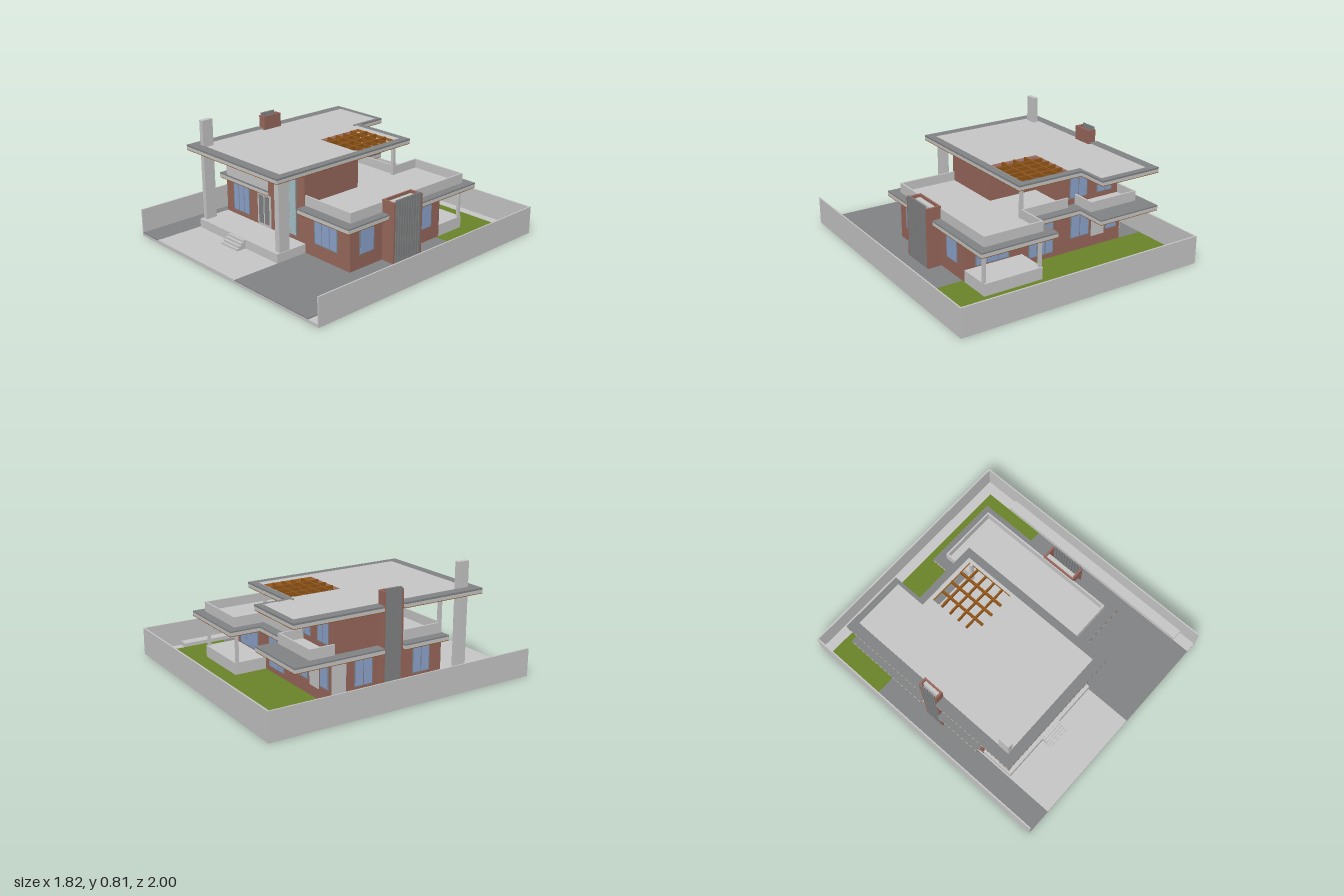
import * as THREE from 'three';

export function createModel() {
  const house = new THREE.Group();
  house.name = 'house';
  const material = (name, color, double) => {
    const m = new THREE.MeshStandardMaterial({ color });
    m.name = name;
    return m;
  };
  const light = material('light plaster', 0xc8c8c8);
  const dark = material('dark grey', 0x838485);
  const brick = material('brick', 0x9a695d);
  const grass = material('grass', 0x6b852a);
  const blue = material('window glass', 0x8fa6d0);
  const teal = material('hall glass', 0xabc5ca);
  const wood = material('wood', 0x935618);

  const add = (name, geometry, mat, parent = house) => {
    const mesh = new THREE.Mesh(geometry, mat);
    mesh.name = name;
    parent.add(mesh);
    return mesh;
  };
  // Box given by its limits
  const box = (name, mat, x0, x1, y0, y1, z0, z1, parent) => {
    const g = new THREE.BoxGeometry(x1 - x0, y1 - y0, z1 - z0);
    g.translate((x0 + x1) / 2, (y0 + y1) / 2, (z0 + z1) / 2);
    return add(name, g, mat, parent);
  };
  // Flat slab from a plan outline of [x, z] points, with holes
  const slab = (name, mat, outline, holes, y0, y1) => {
    const pts = (list) => list.map(([x, z]) => new THREE.Vector2(x, -z));
    const shape = new THREE.Shape(pts(outline));
    holes.forEach((h) => shape.holes.push(new THREE.Path(pts(h))));
    const g = new THREE.ExtrudeGeometry(shape, { depth: y1 - y0, bevelEnabled: false });
    g.rotateX(-Math.PI / 2).translate(0, y0, 0);
    return add(name, g, mat);
  };
  const rect = (x0, x1, z0, z1) => [[x0, z0], [x1, z0], [x1, z1], [x0, z1]];

  // Plot, paving and lawn
  box('plotBase', light, -0.91, 0.91, 0, 0.02, -1, 1);
  box('lawn', grass, -0.9, 0.82, 0.02, 0.026, -0.91, -0.42);
  box('leftPaving', dark, -0.9, -0.72, 0.02, 0.027, -0.45, 1);
  box('rightPaving', dark, 0.13, 0.82, 0.02, 0.026, -0.42, 1);
  box('frontPath', light, -0.72, 0.13, 0.02, 0.026, 0.4, 1);
  box('sidewalk', light, 0.825, 0.9, 0.02, 0.05, -0.72, 0.87);
  box('backWall', light, -0.91, 0.91, 0, 0.197, -1, -0.988);
  for (const s of [-1, 1]) {
    box('sideWall', light, Math.min(s * 0.91, s * 0.9), Math.max(s * 0.91, s * 0.9), 0, 0.197, -0.988, 1);
  }

  // Main brick volumes
  box('groundFloor', brick, -0.71, 0.55, 0.02, 0.335, -0.445, 0.405);
  box('upperHall', brick, -0.25, 0.125, 0.33, 0.6, -0.08, 0.405);
  box('upperBedroom', brick, -0.7, -0.25, 0.33, 0.6, -0.42, 0.06);
  box('balconyBackWall', light, -0.7, -0.25, 0.36, 0.6, 0.06, 0.067);
  box('balconyWindow', dark, -0.51, -0.46, 0.41, 0.56, 0.067, 0.072);

  // Front porch, steps and pillars
  box('porch', light, -0.71, 0.13, 0.02, 0.09, 0.405, 0.65);
  for (let i = 0; i < 4; i++) {
    box('step', light, -0.37, -0.2, 0.02, 0.087 - i * 0.016, 0.65, 0.668 + i * 0.018);
  }
  box('tallPillar', light, -0.7, -0.665, 0.09, 0.81, 0.54, 0.625);
  box('frontPillar', light, 0.083, 0.125, 0.09, 0.6, 0.54, 0.625);
  box('balconyPost', light, -0.71, -0.688, 0.36, 0.6, 0.383, 0.405);
  box('terracePost', light, 0.105, 0.127, 0.36, 0.6, -0.45, -0.428);

  // Back porch
  box('backPorch', light, 0.11, 0.55, 0.02, 0.11, -0.68, -0.445);
  for (const x of [0.11, 0.53]) box('backPorchPost', light, x, x + 0.02, 0.11, 0.33, -0.67, -0.65);

  // Lower roof: plaster body, dark cap and wooden soffit
  const lower = [[-0.78, -0.745], [-0.3, -0.745], [-0.3, -0.525], [0.04, -0.525], [0.04, -0.745],
    [0.61, -0.745], [0.61, 0.475], [0.127, 0.475], [0.127, 0.4], [-0.245, 0.4], [-0.245, 0.412],
    [-0.78, 0.412], [-0.78, 0.062], [-0.7, 0.062], [-0.7, -0.095], [-0.78, -0.095]];
  slab('lowerSoffit', wood, lower, [], 0.323, 0.327);
  slab('lowerRoof', light, lower, [], 0.327, 0.351);
  slab('lowerRoofCap', dark, lower, [], 0.351, 0.36);

  // Terrace and balcony floors with parapets
  box('terraceFloor', light, 0.11, 0.55, 0.36, 0.366, -0.68, 0.4);
  box('pergolaFloor', light, -0.25, 0.11, 0.36, 0.366, -0.445, -0.08);
  box('balconyFloor', light, -0.7, -0.25, 0.36, 0.366, 0.06, 0.4);
  box('backBalconyFloor', light, -0.7, -0.33, 0.36, 0.366, -0.6, -0.42);
  const parapets = [
    [0.125, 0.55, 0.388, 0.4], [0.538, 0.55, -0.68, 0.4], [0.11, 0.55, -0.68, -0.668],
    [0.11, 0.122, -0.68, -0.445], [-0.25, 0.122, -0.457, -0.445],
    [-0.7, -0.25, 0.393, 0.405], [-0.71, -0.698, 0.06, 0.405],
    [-0.71, -0.33, -0.6, -0.588], [-0.71, -0.698, -0.6, -0.42], [-0.342, -0.33, -0.6, -0.42],
  ];
  parapets.forEach(([x0, x1, z0, z1]) => box('parapet', light, x0, x1, 0.358, 0.43, z0, z1));

  // Upper roof with a dark rim, a light deck and a pergola opening
  const upper = [[-0.77, -0.745], [-0.3, -0.745], [-0.3, -0.525], [0.19, -0.525], [0.19, 0.69],
    [-0.77, 0.69], [-0.77, 0.062], [-0.7, 0.062], [-0.7, -0.095], [-0.77, -0.095]];
  const deck = [[-0.697, -0.7], [-0.325, -0.7], [-0.325, -0.475], [0.135, -0.475], [0.135, 0.62], [-0.697, 0.62]];
  const opening = rect(-0.25, 0.115, -0.45, -0.08);
  slab('upperSoffit', wood, upper, [opening], 0.594, 0.598);
  slab('upperRoof', light, upper, [opening], 0.598, 0.62);
  slab('upperRoofRim', dark, upper, [deck], 0.62, 0.632);

  // Pergola beams
  for (let i = 1; i < 4; i++) {
    const x = -0.25 + i * 0.091;
    box('pergolaBeam', wood, x - 0.007, x + 0.007, 0.594, 0.624, -0.45, -0.08);
  }
  for (let i = 1; i < 5; i++) {
    const z = -0.45 + i * 0.074;
    box('pergolaCrossBeam', wood, -0.25, 0.115, 0.596, 0.622, z - 0.006, z + 0.006);
  }

  // Chimneys: brick fins around a row of dark pipes; s is the outward side
  const chimney = (name, s, inner, depth, z0, z1, top, backDepth, count) => {
    const g = new THREE.Group();
    g.name = name;
    house.add(g);
    const span = (label, mat, a, b, y1, za, zb) => {
      const p = inner + s * a, q = inner + s * b;
      box(label, mat, Math.min(p, q), Math.max(p, q), 0.02, y1, za, zb, g);
    };
    span('chimneyFin', brick, 0, depth, top, z0, z0 + 0.014);
    span('chimneyFin', brick, 0, depth, top, z1 - 0.014, z1);
    span('chimneyBack', brick, 0, 0.012, top, z0, z1);
    span('chimneyCore', light, 0.012, backDepth, top - 0.02, z0 + 0.014, z1 - 0.014);
    const pitch = (z1 - z0 - 0.028) / count;
    for (let i = 0; i < count; i++) {
      const z = z0 + 0.014 + (i + 0.5) * pitch;
      span('chimneyPipe', dark, depth - 0.008, depth + 0.003, top + 0.015, z - pitch * 0.36, z + pitch * 0.36);
    }
  };
  chimney('rightChimney', 1, 0.545, 0.107, -0.153, 0.115, 0.447, 0.05, 10);
  chimney('leftChimney', -1, -0.695, 0.06, -0.092, 0.06, 0.72, 0.035, 6);

  // Windows: thin frame plate with panes, placed on a wall and turned outward
  const turns = { front: 0, right: Math.PI / 2, back: Math.PI, left: -Math.PI / 2 };
  const windowOn = (side, x, z, w, y0, y1, panes) => {
    const g = new THREE.Group();
    g.name = side + 'Window';
    g.position.set(x, 0, z);
    g.rotation.y = turns[side];
    house.add(g);
    box('windowFrame', dark, -w / 2, w / 2, y0, y1, -0.002, 0.004, g);
    const pitch = (w - 0.008) / panes;
    for (let i = 0; i < panes; i++) {
      const a = -w / 2 + 0.004 + i * pitch;
      box('windowPane', blue, a + 0.004, a + pitch - 0.004, y0 + 0.008, y1 - 0.006, 0.003, 0.006, g);
    }
  };
  windowOn('front', -0.54, 0.405, 0.18, 0.122, 0.325, 3);
  windowOn('front', 0.33, 0.405, 0.22, 0.122, 0.325, 3);
  for (const z of [0.258, -0.295]) windowOn('right', 0.55, z, 0.135, 0.122, 0.325, 1);
  for (const z of [0.24, -0.21]) windowOn('left', -0.71, z, 0.14, 0.122, 0.325, 2);
  windowOn('back', 0.34, -0.445, 0.26, 0.115, 0.322, 3);
  windowOn('back', -0.04, -0.445, 0.2, 0.06, 0.322, 3);
  windowOn('back', -0.36, -0.445, 0.16, 0.122, 0.322, 2);
  windowOn('back', -0.63, -0.445, 0.1, 0.122, 0.322, 1);
  windowOn('back', -0.36, -0.42, 0.15, 0.4, 0.57, 2);
  windowOn('back', -0.58, -0.42, 0.13, 0.4, 0.57, 2);
  box('backPanel', light, -0.57, -0.46, 0.1, 0.323, -0.45, -0.444);
  box('sidePanel', light, -0.715, -0.709, 0.1, 0.323, -0.445, -0.34);

  // Front double door
  box('doorSurround', light, -0.36, -0.22, 0.09, 0.325, 0.403, 0.41);
  for (const x of [-0.343, -0.282]) box('doorPanel', dark, x, x + 0.046, 0.11, 0.315, 0.409, 0.413);

  // Tall hall window
  box('hallFrame', dark, -0.143, 0.05, 0.118, 0.592, 0.403, 0.409);
  for (const [x0, x1] of [[-0.14, -0.019], [-0.016, 0.04]]) {
    for (const [y0, y1] of [[0.124, 0.262], [0.265, 0.59]]) {
      box('hallPane', teal, x0, x1, y0, y1, 0.408, 0.412);
    }
  }
  return house;
}
